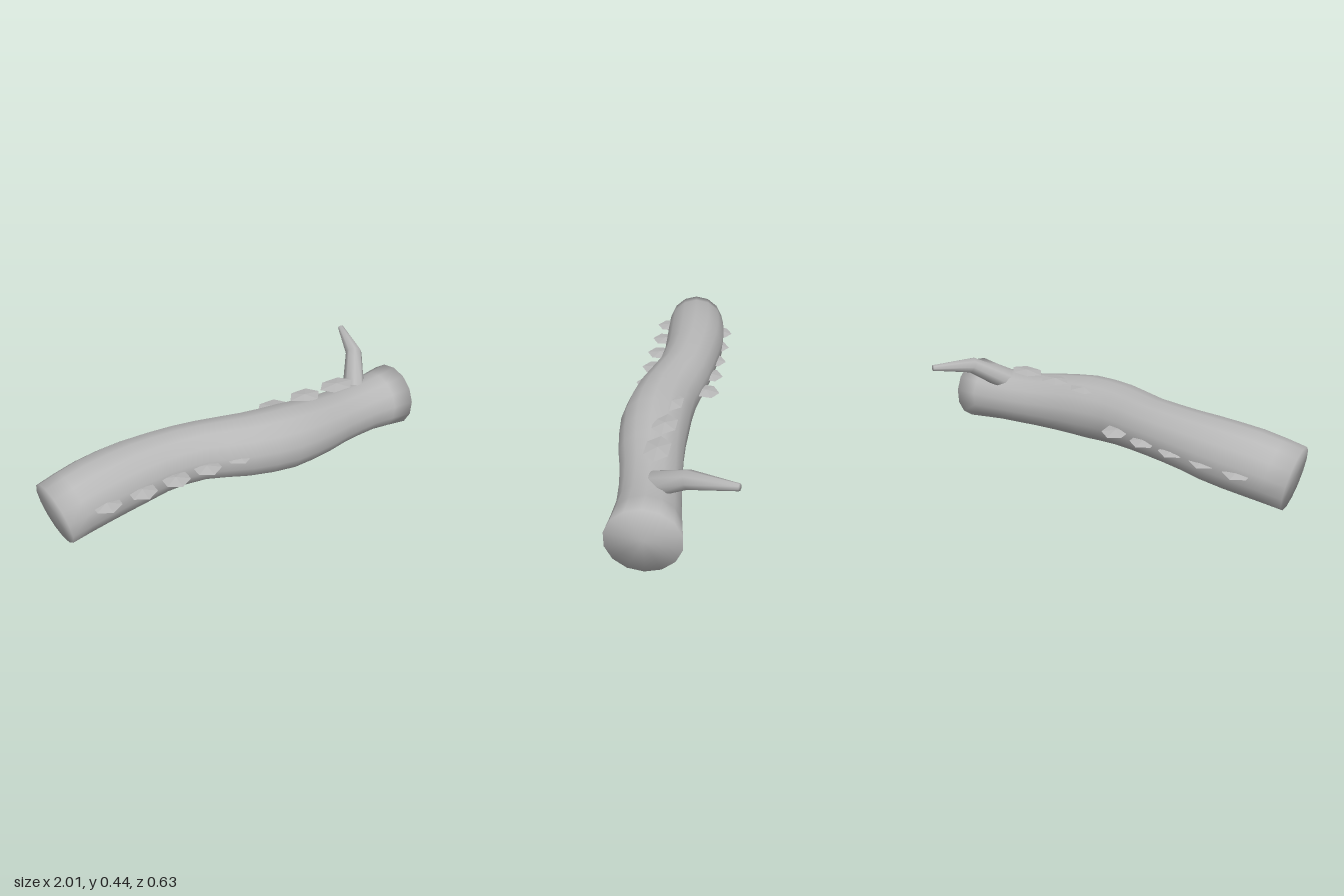
import * as THREE from 'three';

const V = (x, y, z) => new THREE.Vector3(x, y, z);

// Smooth tube of rings square to a path; stations are [x, y, z, radius]
function limb(stations, sides, steps, capStart, capEnd) {
  const path = new THREE.CatmullRomCurve3(stations.map(s => V(s[0], s[1], s[2])));
  const pos = [], idx = [];
  for (let i = 0; i <= steps; i++) {
    const t = i / steps, f = t * (stations.length - 1);
    const k = Math.min(Math.floor(f), stations.length - 2);
    const r = THREE.MathUtils.lerp(stations[k][3], stations[k + 1][3], f - k);
    const c = path.getPoint(t), tan = path.getTangent(t);
    const side = tan.clone().cross(V(0, 1, 0)).normalize();
    const up = side.clone().cross(tan).normalize();
    for (let j = 0; j < sides; j++) {
      const a = j / sides * Math.PI * 2;
      const p = c.clone().addScaledVector(up, Math.cos(a) * r).addScaledVector(side, Math.sin(a) * r);
      pos.push(p.x, p.y, p.z);
    }
  }
  for (let i = 0; i < steps; i++) for (let j = 0; j < sides; j++) {
    const a = i * sides + j, b = i * sides + (j + 1) % sides;
    idx.push(a, a + sides, b, b, a + sides, b + sides);
  }
  // End caps are fans that share the rim, so the shading rolls over the edge
  const cap = (first, t, flip) => {
    const centre = pos.length / 3;
    pos.push(...path.getPoint(t).toArray());
    for (let j = 0; j < sides; j++) {
      const a = first + j, b = first + (j + 1) % sides;
      idx.push(centre, flip ? b : a, flip ? a : b);
    }
  };
  if (capStart) cap(0, 0, false);
  if (capEnd) cap(steps * sides, 1, true);
  const g = new THREE.BufferGeometry();
  g.setAttribute('position', new THREE.Float32BufferAttribute(pos, 3));
  g.setIndex(idx);
  g.computeVertexNormals();
  return g;
}

export function createModel() {
  const group = new THREE.Group();
  const wood = new THREE.MeshStandardMaterial({ color: 0xb8b8b8, side: THREE.DoubleSide });
  wood.name = 'grey wood';
  const add = (name, geo) => {
    const m = new THREE.Mesh(geo, wood);
    m.name = name;
    group.add(m);
    return m;
  };

  // Gently winding trunk
  add('trunk', limb([
    [-0.973, 0.217, 0.105, 0.154], [-0.8, 0.243, 0.083, 0.162], [-0.6, 0.257, 0.065, 0.161],
    [-0.4, 0.267, 0.064, 0.147], [-0.2, 0.262, 0.085, 0.146], [0, 0.246, 0.134, 0.159],
    [0.2, 0.226, 0.152, 0.169], [0.4, 0.205, 0.138, 0.157], [0.6, 0.185, 0.105, 0.141],
    [0.8, 0.173, 0.08, 0.143], [0.995, 0.168, 0.069, 0.168],
  ], 14, 18, true, true));

  // Bent broken branch
  const branch = [[0.74, 0.275, 0.055, 0.058], [0.85, 0.39, -0.1, 0.043], [0.92, 0.425, -0.312, 0.016]];
  add('branch', limb(branch, 8, 2, false, true));

  // Thin six-sided shelf fungus, thickest in the middle
  const shelf = (name, position, rx, rz, turn) => {
    const geo = new THREE.SphereGeometry(1, 6, 2).rotateY(turn).scale(rx, 0.01, rz).toNonIndexed();
    geo.computeVertexNormals();
    const m = add(name, geo);
    m.position.set(...position);
    return m;
  };

  // A row along each flank, tips pointing outward
  for (const x of [-0.77, -0.595, -0.425, -0.26, -0.09]) {
    shelf('frontShelf', [x, 0.279, 0.232], 0.07, 0.07, Math.PI / 2);
    shelf('backShelf', [x, 0.254, -0.058], 0.07, 0.07, Math.PI / 2).rotation.x = -0.1;
  }

  // Longer ones lying along the top
  for (const [x, length] of [[0.21, 0.085], [0.405, 0.088], [0.605, 0.1]]) {
    shelf('topShelf', [x, 0.359, 0.072], length, 0.063, 0);
  }
  return group;
}
